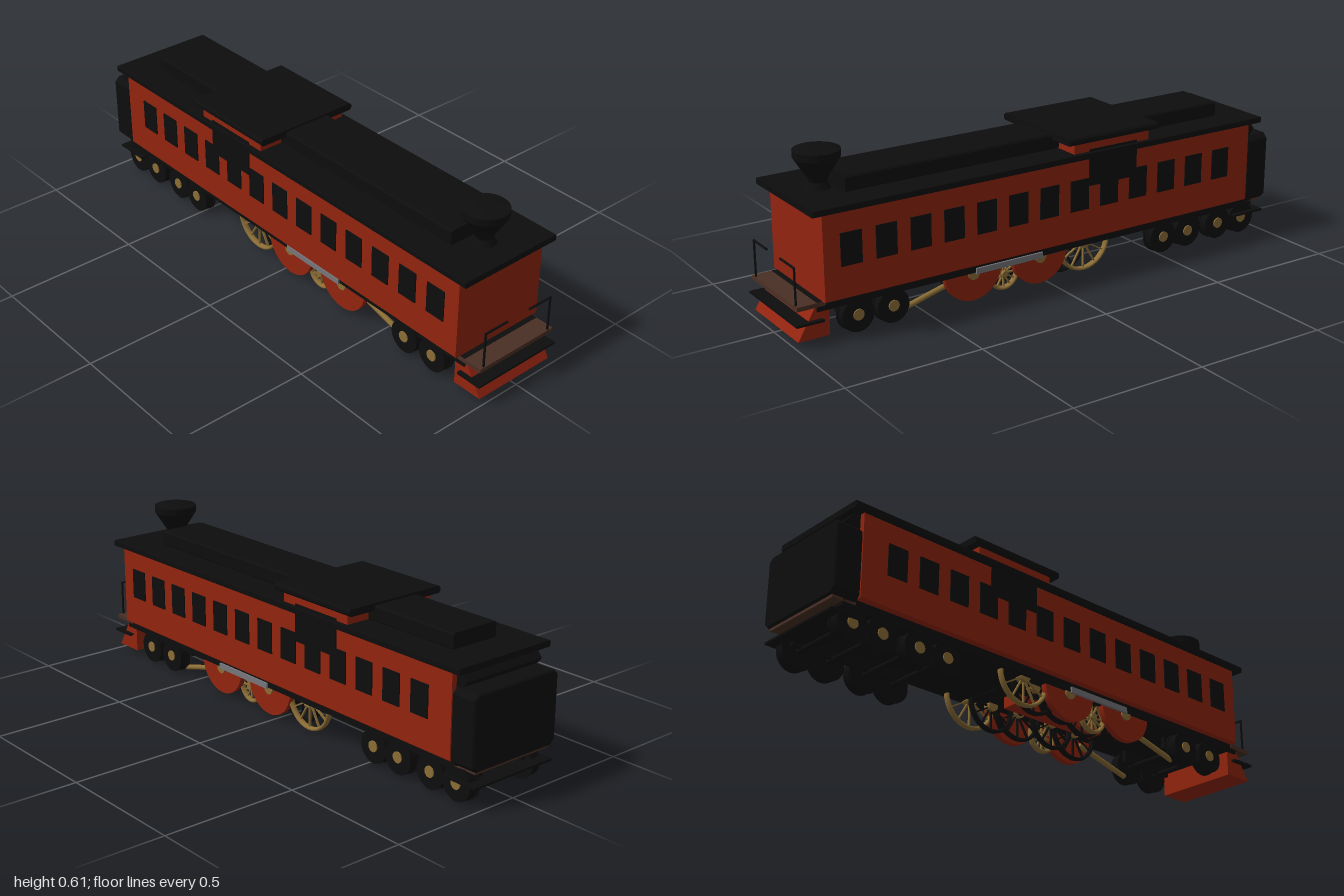
import * as THREE from 'three';

const mat = (name, color) => {
  const m = new THREE.MeshStandardMaterial({ color });
  m.name = name;
  return m;
};

export function createModel() {
  const black = mat('black', 0x0d0d0d);
  const red = mat('red', 0x93240f);
  const brown = mat('brown', 0x4a2f25);
  const brass = mat('brass', 0x8d6e36);
  const steel = mat('steel', 0x77777c);
  const train = new THREE.Group();
  train.name = 'railCar';

  const add = (name, geo, material, x = 0, y = 0, z = 0, parent = train) => {
    const m = new THREE.Mesh(geo, material);
    m.name = name;
    m.position.set(x, y, z);
    parent.add(m);
    return m;
  };
  // Box given by its limits
  const box = (name, material, x0, x1, y0, y1, z0, z1) =>
    add(name, new THREE.BoxGeometry(x1 - x0, y1 - y0, z1 - z0), material,
      (x0 + x1) / 2, (y0 + y1) / 2, (z0 + z1) / 2);
  // Outline in the x-y plane extruded across the car
  const across = (name, material, pts, halfWidth) => {
    const g = new THREE.ExtrudeGeometry(new THREE.Shape(pts.map(p => new THREE.Vector2(...p))),
      { depth: halfWidth * 2, bevelEnabled: false });
    return add(name, g, material, 0, 0, -halfWidth);
  };
  // Box with its long edges along x cut off
  const slab = (name, material, x0, x1, y0, y1, half, c) => {
    const pts = [[-half + c, y0], [half - c, y0], [half, y0 + c], [half, y1 - c],
      [half - c, y1], [-half + c, y1], [-half, y1 - c], [-half, y0 + c]];
    const g = new THREE.ExtrudeGeometry(new THREE.Shape(pts.map(p => new THREE.Vector2(...p))),
      { depth: x1 - x0, bevelEnabled: false });
    g.rotateY(Math.PI / 2);
    return add(name, g, material, x0, 0, 0);
  };
  const rod = (name, material, a, b, r) => {
    const p = new THREE.Vector3(...a), q = new THREE.Vector3(...b), d = q.clone().sub(p);
    const m = add(name, new THREE.CylinderGeometry(r, r, d.length(), 8), material);
    m.position.copy(p).add(q).multiplyScalar(0.5);
    m.quaternion.setFromUnitVectors(new THREE.Vector3(0, 1, 0), d.normalize());
    return m;
  };
  const disc = (name, material, r, w, x, y, z, parent = train) =>
    add(name, new THREE.CylinderGeometry(r, r, w, 32).rotateX(Math.PI / 2), material, x, y, z, parent);

  // Car body and roof
  slab('carBody', red, -0.9, 0.9, 0.145, 0.452, 0.19, 0.004);
  slab('roof', black, -0.945, 0.94, 0.45, 0.472, 0.207, 0.002);
  slab('roofDeck', black, -0.81, 0.765, 0.47, 0.527, 0.097, 0.006);
  across('roofBrace', black, [[-0.9, 0.39], [-0.9, 0.45], [-0.92, 0.45], [-0.945, 0.42], [-0.93, 0.4]], 0.17);

  // Cupola
  box('cupola', red, -0.415, -0.085, 0.47, 0.512, -0.19, 0.19);
  slab('cupolaRoof', black, -0.445, -0.055, 0.509, 0.535, 0.208, 0.007);

  // Folded bellows at the rear
  const outline = new THREE.Shape([[-0.17, 0.14], [0.17, 0.14], [0.185, 0.155], [0.185, 0.375],
    [0.17, 0.39], [-0.17, 0.39], [-0.185, 0.375], [-0.185, 0.155]].map(p => new THREE.Vector2(...p)));
  add('bellows', new THREE.ExtrudeGeometry(outline,
    { depth: 0.09, bevelSize: 0.005, bevelThickness: 0.005, bevelSegments: 1 })
    .rotateY(Math.PI / 2), black, -0.995, 0, 0);

  // Underframe, platforms and end plates
  box('underframe', black, -0.95, 0.92, 0.112, 0.146, -0.168, 0.168);
  box('frontPlatform', brown, 0.89, 0.992, 0.13, 0.145, -0.17, 0.17);
  box('rearPlatform', brown, -0.99, -0.9, 0.125, 0.138, -0.168, 0.168);
  box('frontPlate', black, 0.9, 1.0, 0.078, 0.086, -0.179, 0.179);
  box('rearPlate', black, -1.0, -0.86, 0.078, 0.086, -0.179, 0.179);
  across('pilot', red, [[0.875, 0.02], [0.99, 0.02], [0.925, 0.13], [0.875, 0.13]], 0.163);

  // Flared chimney
  const profile = [[0.001, 0.47], [0.045, 0.47], [0.04, 0.478], [0.03, 0.495], [0.036, 0.51], [0.08, 0.58],
    [0.08, 0.605], [0.04, 0.61], [0.001, 0.612]].map(p => new THREE.Vector2(...p));
  const chimney = add('chimney', new THREE.LatheGeometry(profile, 32).toNonIndexed(), black, 0.815, 0, 0);
  chimney.geometry.computeVertexNormals();

  // Spoked wheel with a brass or black rim
  const spokedWheel = (name, material, r, x, y, z) => {
    const g = new THREE.Group();
    g.name = name;
    g.position.set(x, y, z);
    add('rim', new THREE.TorusGeometry(r - 0.007, 0.007, 8, 32), material, 0, 0, 0, g).scale.z = 1.8;
    disc('hub', brass, r * 0.2, 0.03, 0, 0, 0, g);
    for (let i = 0; i < 12; i++) {
      const a = i * Math.PI / 6;
      const s = add('spoke', new THREE.BoxGeometry(0.005, r - 0.01, 0.008), material,
        Math.sin(a) * r / 2, Math.cos(a) * r / 2, 0, g);
      s.rotation.z = -a;
    }
    train.add(g);
  };

  for (const s of [-1, 1]) {
    // Side windows and cupola panel
    for (let i = 0; i < 13; i++) {
      const x = -0.76 + i * 0.13;
      box('window', black, x - 0.039, x + 0.039, 0.26, 0.375, s * 0.1915 - 0.0025, s * 0.1915 + 0.0025);
    }
    box('cupolaPanel', black, -0.36, -0.15, 0.345, 0.48, s * 0.191 - 0.0035, s * 0.191 + 0.0035);

    // Platform railing
    rod('railPost', black, [0.986, 0.14, s * 0.15], [0.986, 0.277, s * 0.15], 0.004);
    rod('handRail', black, [0.986, 0.275, s * 0.153], [0.986, 0.275, s * 0.05], 0.004);

    // Truck wheels
    for (const x of [-0.905, -0.787, -0.638, -0.52, 0.635, 0.768]) {
      disc('truckWheel', black, 0.06, 0.033, x, 0.064, s * 0.147);
      disc('wheelFlange', black, 0.064, 0.008, x, 0.064, s * 0.127);
      disc('wheelHub', brass, 0.02, 0.01, x, 0.066, s * 0.163);
    }
    for (const [a, b] of [[-0.95, -0.48], [0.58, 0.82]])
      box('truckFrame', black, a, b, 0.065, 0.115, s * 0.1 - 0.008, s * 0.1 + 0.008);

    // Driving wheels, the front two behind red covers
    spokedWheel('rearDriver', brass, 0.112, -0.165, 0.117, s * 0.14);
    spokedWheel('innerDriver', black, 0.1, -0.09, 0.105, s * 0.11);
    for (const x of [0.037, 0.317]) {
      spokedWheel('driver', black, 0.108, x, 0.116, s * 0.11);
      disc('driverCover', red, 0.116, 0.022, x, 0.123, s * 0.149);
      disc('crankPin', brass, 0.022, 0.008, x, 0.107, s * 0.162);
    }
    spokedWheel('smallWheel', brass, 0.062, 0.175, 0.066, s * 0.13);
    spokedWheel('middleDriver', black, 0.1, 0.175, 0.105, s * 0.08);

    // Rods
    box('sideRod', steel, 0.035, 0.312, 0.108, 0.129, s * 0.17 - 0.005, s * 0.17 + 0.005);
    rod('mainRod', brass, [0.36, 0.082, s * 0.12], [0.6, 0.018, s * 0.12], 0.01);
  }

  // Axles
  for (const x of [-0.905, -0.787, -0.638, -0.52, 0.635, 0.768])
    disc('truckAxle', black, 0.01, 0.28, x, 0.064, 0);
  for (const x of [-0.165, 0.037, 0.317])
    disc('driverAxle', black, 0.014, 0.28, x, 0.115, 0);
  box('driverFrame', red, -0.1, 0.32, 0.07, 0.112, -0.03, 0.03);

  return train;
}
